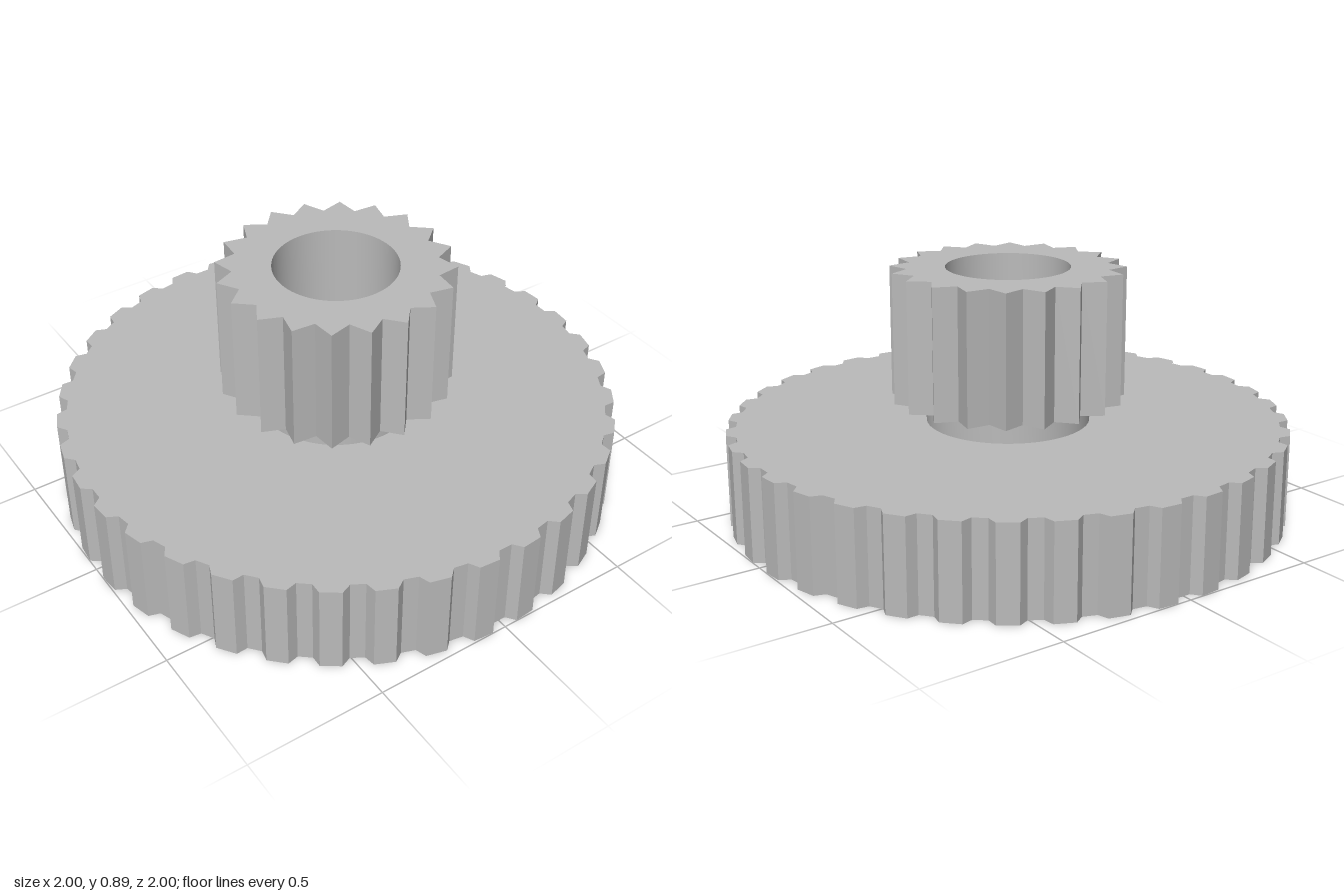
import * as THREE from 'three';
import { toCreasedNormals } from 'three/addons/utils/BufferGeometryUtils.js';

const BORE = 0.22;
const DEG = Math.PI / 180;

// Closed outline that repeats a tooth profile of [angle in degrees, radius] points
function gearShape(teeth, profile, startDeg) {
  const points = [];
  for (let i = 0; i < teeth; i++) {
    for (const [angle, radius] of profile) {
      const a = (startDeg + (i * 360) / teeth + angle) * DEG;
      points.push(new THREE.Vector2(Math.cos(a) * radius, Math.sin(a) * radius));
    }
  }
  return new THREE.Shape(points);
}

// Extrude an outline upward from y0 to y1, with the shaft bore through it
function boredPart(name, shape, y0, y1, material) {
  const hole = new THREE.Path();
  hole.absarc(0, 0, BORE, 0, Math.PI * 2, true);
  shape.holes.push(hole);
  const extruded = new THREE.ExtrudeGeometry(shape, {
    depth: y1 - y0,
    bevelEnabled: false,
    curveSegments: 64,
  });
  extruded.rotateX(-Math.PI / 2);
  extruded.translate(0, y0, 0);
  const mesh = new THREE.Mesh(toCreasedNormals(extruded, 0.25), material);
  mesh.name = name;
  return mesh;
}

export function createModel() {
  const group = new THREE.Group();
  group.name = 'compoundGear';
  const metal = new THREE.MeshStandardMaterial({ color: 0xbababa });
  metal.name = 'grey';

  // Wide gear: 36 flat-topped teeth with shallow notches
  const wide = gearShape(36, [[-3.5, 0.966], [-2.1, 1], [2.1, 1], [3.5, 0.966]], 5);
  group.add(boredPart('largeGear', wide, 0, 0.335, metal));

  // Plain collar between the gears
  const collar = new THREE.Shape();
  collar.absarc(0, 0, 0.292, 0, Math.PI * 2, false);
  group.add(boredPart('collar', collar, 0.335, 0.422, metal));

  // Pinion: 20 pointed teeth
  const pinion = gearShape(20, [[0, 0.415], [9, 0.355]], 0);
  group.add(boredPart('pinion', pinion, 0.422, 0.89, metal));

  return group;
}
